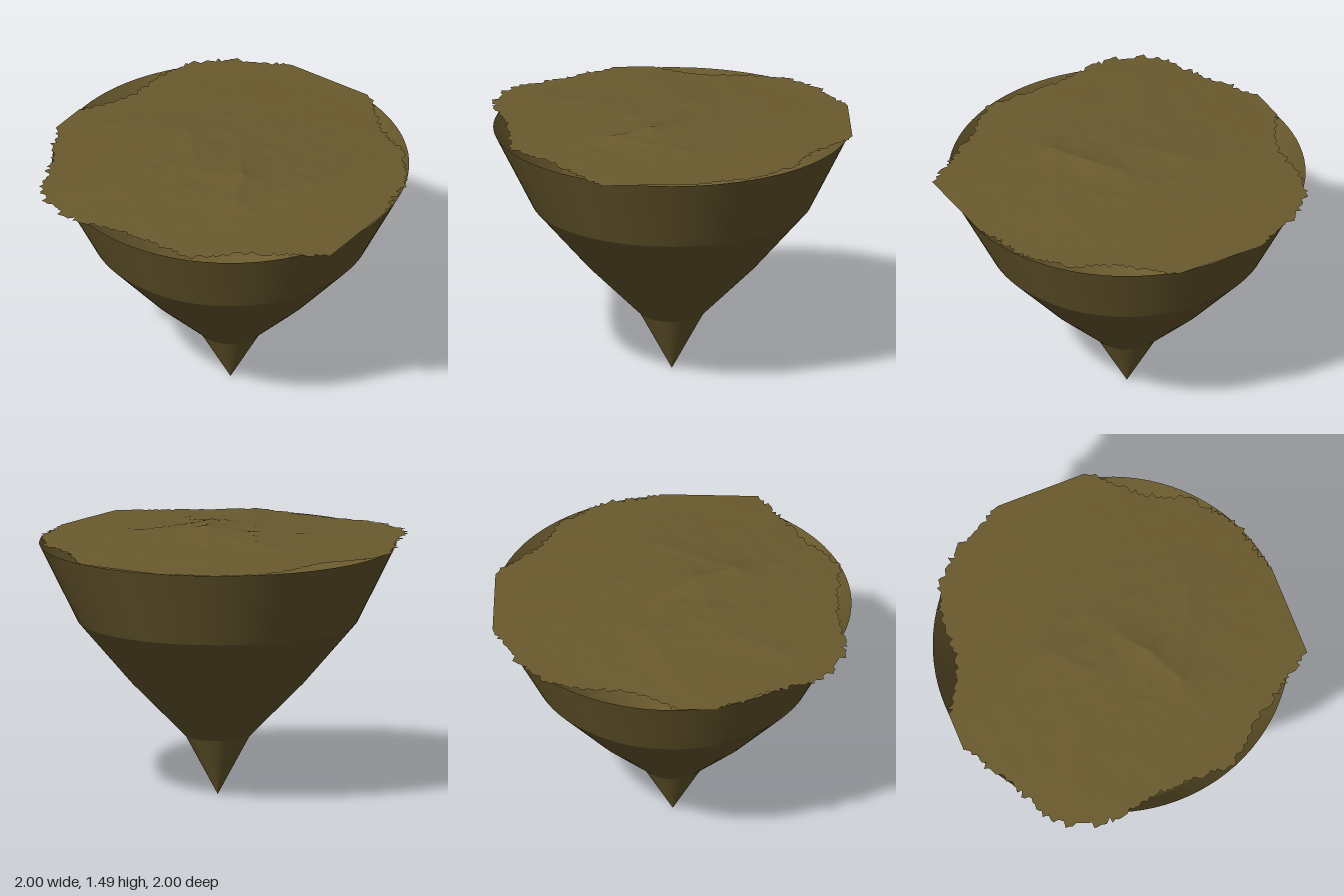
import * as THREE from 'three';

export function createModel() {
  const group = new THREE.Group();
  const earth = new THREE.MeshStandardMaterial({ color: 0x6a5a2e, side: THREE.DoubleSide });
  earth.name = 'earth brown';

  // Open tapering base: one smooth band per step of the profile [radius, y]
  const profile = [[0, 0], [0.18, 0.335], [0.485, 0.645], [0.785, 0.995], [1, 1.43]];
  for (let i = 0; i < profile.length - 1; i++) {
    const [r0, y0] = profile[i], [r1, y1] = profile[i + 1];
    const band = new THREE.Mesh(new THREE.CylinderGeometry(r1, r0, y1 - y0, 96, 1, true), earth);
    band.position.y = (y0 + y1) / 2;
    band.name = 'rockBand' + (i + 1);
    group.add(band);
  }

  // Seeded value noise
  let seed = 7;
  const random = () => (seed = (seed * 16807) % 2147483647) / 2147483647;
  const hash = (i, j) => {
    const s = Math.sin(i * 127.1 + j * 311.7) * 43758.5453;
    return s - Math.floor(s);
  };
  const smooth = t => t * t * (3 - 2 * t);
  const noise = (x, z) => {
    const i = Math.floor(x), j = Math.floor(z), u = smooth(x - i), v = smooth(z - j);
    return THREE.MathUtils.lerp(
      THREE.MathUtils.lerp(hash(i, j), hash(i + 1, j), u),
      THREE.MathUtils.lerp(hash(i, j + 1), hash(i + 1, j + 1), u), v);
  };

  // Mountain ridges: [x0, z0, x1, z1, height, width]
  const ridges = [
    [-0.35, 0.28, -0.12, 0.17, 0.016, 0.06],
    [-0.12, 0.17, 0.02, 0.05, 0.014, 0.07],
    [-0.35, 0.28, 0.15, 0.53, 0.009, 0.07],
    [-0.2, -0.1, 0.1, -0.35, 0.01, 0.09],
    [-0.7, -0.5, -0.25, -0.25, 0.006, 0.08],
    [-0.15, -0.85, 0.1, -0.4, 0.004, 0.08],
  ];
  const segmentDistance = (x, z, [x0, z0, x1, z1]) => {
    const dx = x1 - x0, dz = z1 - z0;
    const t = THREE.MathUtils.clamp(((x - x0) * dx + (z - z0) * dz) / (dx * dx + dz * dz), 0, 1);
    return Math.hypot(x - x0 - t * dx, z - z0 - t * dz);
  };
  const height = (x, z) => {
    const d = Math.hypot(x + 0.15, z - 0.1);
    const dome = Math.max(0, 1 - d / 1.05);
    let y = 1.436 + 0.03 * dome;
    for (const r of ridges) y += r[4] * Math.exp(-segmentDistance(x, z, r) / r[5]);
    const gullies = 1 - Math.abs(2 * noise(x * 7 + 20, z * 7 + 20) - 1);
    const detail = noise(x * 18 + 50, z * 18 + 50);
    return y + dome * (0.007 * (gullies - 0.6) + 0.004 * (detail - 0.5));
  };

  // Outline of the land sheet [x, z], with straight cuts at three sides
  const outline = [
    [-0.28, -1], [-0.05, -1], [0.02, -0.95], [0.12, -0.88], [0.25, -0.84], [0.58, -0.81],
    [0.72, -0.74], [0.85, -0.6], [0.94, -0.4], [1, -0.28], [1, 0.23], [0.95, 0.3],
    [0.82, 0.43], [0.73, 0.55], [0.66, 0.7], [0.55, 0.82], [0.38, 0.93], [0.2, 0.96],
    [0.1, 1], [-0.45, 1], [-0.55, 0.85], [-0.6, 0.77], [-0.72, 0.58], [-0.85, 0.46],
    [-0.92, 0.35], [-0.92, 0.1], [-0.93, -0.1], [-0.96, -0.25], [-0.98, -0.45],
    [-0.93, -0.6], [-0.85, -0.7], [-0.6, -0.81], [-0.45, -0.9],
  ];
  const rim = [];
  outline.forEach(([x0, z0], i) => {
    const [x1, z1] = outline[(i + 1) % outline.length];
    const steps = Math.max(1, Math.round(Math.hypot(x1 - x0, z1 - z0) / 0.018));
    const straight = (x0 === x1 && x0 === 1) || (z0 === z1 && Math.abs(z0) === 1);
    for (let s = 0; s < steps; s++) {
      const t = s / steps;
      const ragged = straight || s === 0 ? 1 : 1 + (random() - 0.5) * 0.04;
      rim.push([
        THREE.MathUtils.clamp((x0 + (x1 - x0) * t) * ragged, -1, 1),
        THREE.MathUtils.clamp((z0 + (z1 - z0) * t) * ragged, -1, 1),
      ]);
    }
  });

  // Land sheet: rings from the middle out to the ragged rim
  const rings = 60, n = rim.length;
  const positions = [0, height(0, 0), 0], index = [];
  for (let k = 1; k <= rings; k++) {
    const f = k / rings;
    for (const [x, z] of rim) positions.push(x * f, height(x * f, z * f), z * f);
  }
  for (let i = 0; i < n; i++) {
    const j = (i + 1) % n;
    index.push(0, 1 + j, 1 + i);
    for (let k = 0; k < rings - 1; k++) {
      const a = 1 + k * n, b = a + n;
      index.push(a + i, a + j, b + i, a + j, b + j, b + i);
    }
  }
  const land = new THREE.BufferGeometry();
  land.setAttribute('position', new THREE.Float32BufferAttribute(positions, 3));
  land.setIndex(index);
  land.computeVertexNormals();
  const terrain = new THREE.Mesh(land, earth);
  terrain.name = 'terrain';
  group.add(terrain);

  return group;
}
